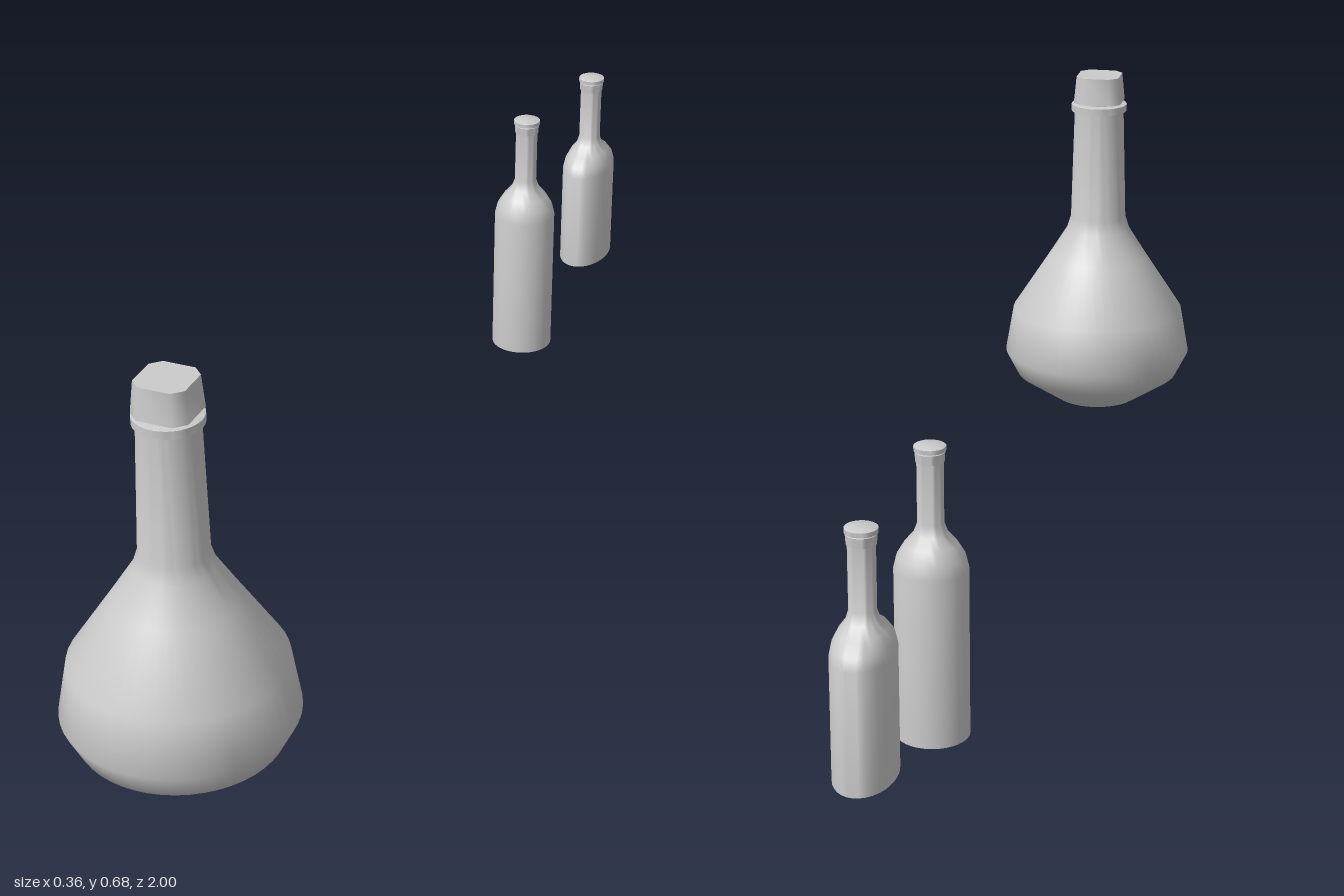
import * as THREE from 'three';
import { toCreasedNormals } from 'three/addons/utils/BufferGeometryUtils.js';

const material = new THREE.MeshStandardMaterial({ color: 0xcccccc, side: THREE.DoubleSide });

function addMesh(parent, name, geometry, x = 0, y = 0, z = 0) {
  const mesh = new THREE.Mesh(geometry, material);
  mesh.name = name;
  mesh.position.set(x, y, z);
  parent.add(mesh);
  return mesh;
}

// Surface of revolution from [radius, height] pairs, listed bottom to top
function lathe(profile, segments = 32) {
  const points = profile.map(([r, y]) => new THREE.Vector2(r, y));
  return toCreasedNormals(new THREE.LatheGeometry(points, segments), 0.8);
}

function baseDisc(radius, segments = 32) {
  return new THREE.CircleGeometry(radius, segments).rotateX(Math.PI / 2);
}

// Square stopper: tapered block with chamfered corners and a narrow top bevel
function stopperGeometry(half, height) {
  const c = half * 0.62;
  const shape = new THREE.Shape();
  [[half, -c], [half, c], [c, half], [-c, half], [-half, c], [-half, -c], [-c, -half], [c, -half]]
    .forEach(([x, y], i) => (i ? shape.lineTo(x, y) : shape.moveTo(x, y)));
  shape.closePath();
  const geometry = new THREE.ExtrudeGeometry(shape, { depth: height, bevelEnabled: false });
  geometry.rotateX(-Math.PI / 2);
  const p = geometry.attributes.position;
  for (let i = 0; i < p.count; i++) {
    const s = 1 - 0.1 * (p.getY(i) / height);
    p.setXYZ(i, p.getX(i) * s, p.getY(i), p.getZ(i) * s);
  }
  return toCreasedNormals(geometry, 0.9);
}

function createFlask() {
  const flask = new THREE.Group();
  flask.name = 'flask';
  addMesh(flask, 'flaskBody', lathe([
    [0.078, 0.025], [0.157, 0.077], [0.18, 0.122], [0.165, 0.208],
    [0.095, 0.316], [0.061, 0.37], [0.053, 0.395], [0.047, 0.607],
  ], 48));
  addMesh(flask, 'flaskBase', baseDisc(0.078, 48), 0, 0.025, 0);
  addMesh(flask, 'flaskRim', lathe([
    [0.046, 0.606], [0.053, 0.606], [0.053, 0.619], [0.05, 0.62], [0.0, 0.62],
  ]));
  addMesh(flask, 'stopperNeck', new THREE.CylinderGeometry(0.036, 0.036, 0.008, 24), 0, 0.622, 0);
  addMesh(flask, 'stopper', stopperGeometry(0.045, 0.051), 0, 0.624, 0);
  return flask;
}

// Bottle with an optionally oval body that blends into a round neck
function createBottle(name, { radiusX, radiusZ, shoulder, neckBase, capBase }) {
  const bottle = new THREE.Group();
  bottle.name = name;
  const neck = 0.02;
  const rise = neckBase - shoulder;
  // Radii run from 0 (neck) to 1 (full body), then map to each axis
  const profile = [
    [1, 0], [1, shoulder], [0.87, shoulder + rise * 0.3], [0.55, shoulder + rise * 0.6],
    [0.16, shoulder + rise * 0.85], [0, neckBase + 0.006], [0, capBase + 0.004],
  ];
  const geometry = new THREE.LatheGeometry(
    profile.map(([t, y]) => new THREE.Vector2(1 + t, y)), 32);
  const p = geometry.attributes.position;
  for (let i = 0; i < p.count; i++) {
    const r = Math.hypot(p.getX(i), p.getZ(i));
    const t = r - 1;
    p.setX(i, (p.getX(i) / r) * (neck + t * (radiusX - neck)));
    p.setZ(i, (p.getZ(i) / r) * (neck + t * (radiusZ - neck)));
  }
  addMesh(bottle, 'bottleBody', toCreasedNormals(geometry, 0.8));
  addMesh(bottle, 'bottleBase', baseDisc(1)).scale.set(radiusX, 1, radiusZ);
  // Stepped cap
  addMesh(bottle, 'bottleCap', lathe([
    [0.018, capBase], [0.0215, capBase], [0.0225, capBase + 0.015], [0.021, capBase + 0.016],
    [0.024, capBase + 0.017], [0.024, capBase + 0.024], [0.022, capBase + 0.025], [0, capBase + 0.025],
  ], 24));
  return bottle;
}

export function createModel() {
  const model = new THREE.Group();
  model.name = 'bottleSet';

  const flask = createFlask();
  flask.position.set(0, 0, 0.82);

  const round = createBottle('roundBottle', {
    radiusX: 0.056, radiusZ: 0.056, shoulder: 0.27, neckBase: 0.335, capBase: 0.437,
  });
  round.position.set(0.012, 0, -0.647);

  const oval = createBottle('ovalBottle', {
    radiusX: 0.046, radiusZ: 0.077, shoulder: 0.19, neckBase: 0.245, capBase: 0.349,
  });
  oval.position.set(0.047, 0.07, -0.923);

  model.add(flask, round, oval);
  return model;
}
